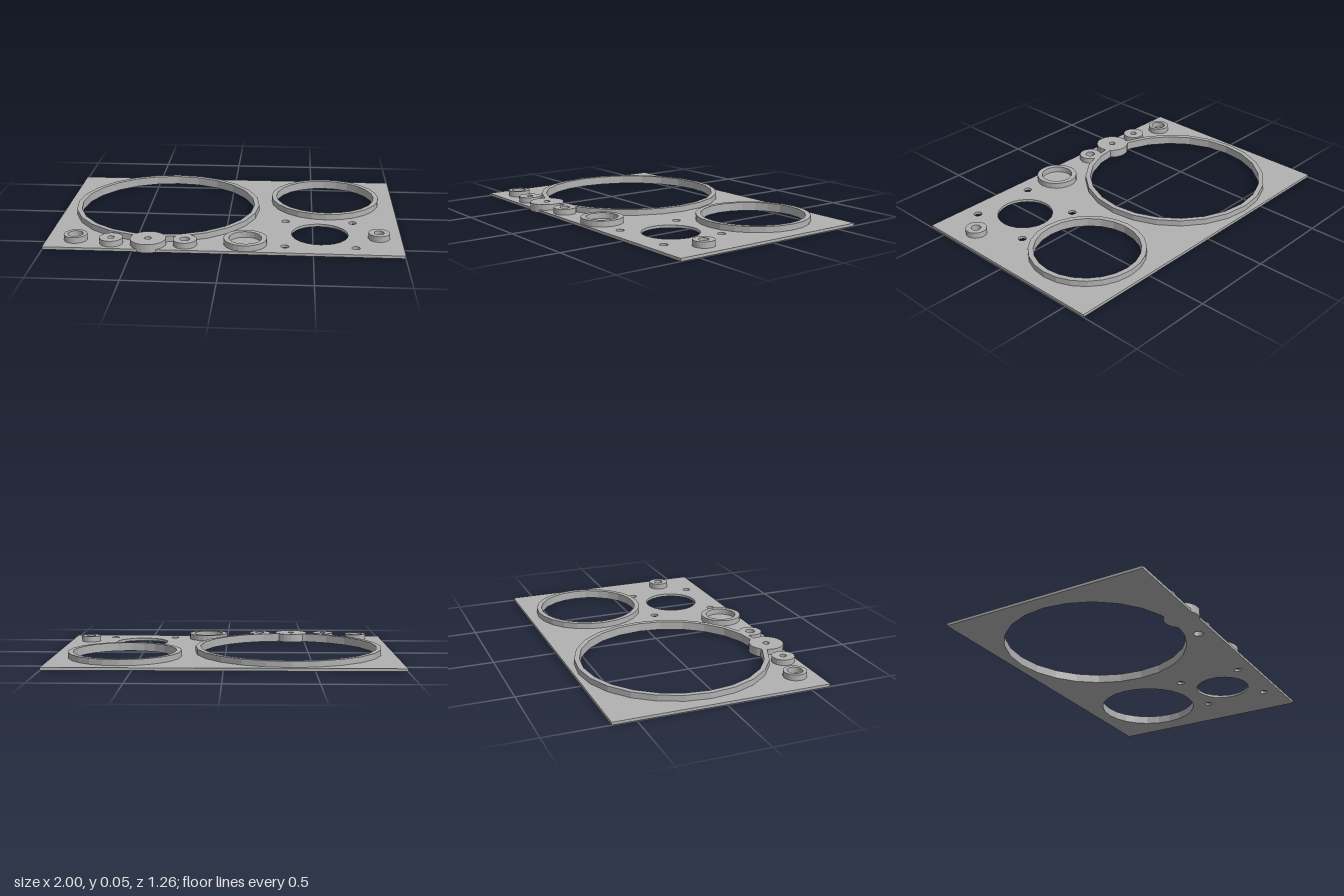
import * as THREE from 'three';

const PLATE = 0.016, TOP = 0.05;

// Points of a regular polygon standing in for a circle (shape y is -z)
function circle(x, z, r, sides) {
  return Array.from({ length: sides }, (_, i) => {
    const a = (i / sides) * Math.PI * 2;
    return new THREE.Vector2(x + r * Math.cos(a), -z + r * Math.sin(a));
  });
}

// Flat extrusion lying in the xz plane between two heights
function slab(outline, holes, y0, y1) {
  const shape = new THREE.Shape(outline);
  holes.forEach(h => shape.holes.push(new THREE.Path(h)));
  const geo = new THREE.ExtrudeGeometry(shape, { depth: y1 - y0, bevelEnabled: false });
  return geo.rotateX(-Math.PI / 2).translate(0, y0, 0);
}

export function createModel() {
  const group = new THREE.Group();
  group.name = 'mountingPanel';
  const grey = new THREE.MeshStandardMaterial({ color: 0xb2b2b2, flatShading: true });
  grey.name = 'panelGrey';

  const add = (name, geo) => {
    const mesh = new THREE.Mesh(geo, grey);
    mesh.name = name;
    group.add(mesh);
  };

  // Raised collars: name, x, z, outer radius, inner radius, sides, hole goes through the plate
  const collars = [
    ['largeRing', -0.376, -0.053, 0.556, 0.526, 24, true],
    ['mediumRing', 0.581, -0.243, 0.33, 0.3, 24, true],
    ['socketRing', 0.122, 0.489, 0.122, 0.092, 24, false],
    ['rightBoss', 0.873, 0.364, 0.061, 0.028, 24, false],
    ['leftBoss', -0.836, 0.489, 0.066, 0.043, 24, false],
    ['pinBoss', -0.627, 0.529, 0.066, 0.019, 24, false],
    ['wideBoss', -0.419, 0.529, 0.101, 0.019, 24, false],
    ['throughBoss', -0.213, 0.529, 0.067, 0.028, 24, true],
  ];

  // Openings in the plate: round port, four screw holes and the through collars
  const holes = [circle(0.54, 0.321, 0.162, 24)];
  for (const x of [0.343, 0.736]) {
    for (const z of [0.126, 0.519]) holes.push(circle(x, z, 0.023, 16));
  }
  for (const [, x, z, , inner, sides, through] of collars) {
    if (through) holes.push(circle(x, z, inner, sides));
  }

  const corners = [[-1, -0.615], [1, -0.615], [1, 0.634], [-1, 0.634]];
  add('basePlate', slab(corners.map(c => new THREE.Vector2(...c)), holes, 0, PLATE));

  for (const [name, x, z, outer, inner, sides] of collars) {
    add(name, slab(circle(x, z, outer, sides), [circle(x, z, inner, sides)], PLATE, TOP));
  }

  // Foot of the wide boss, reaching past the plate edge and into the large opening
  add('wideBossFoot', slab(circle(-0.419, 0.529, 0.101, 24), [], 0, PLATE));

  return group;
}
